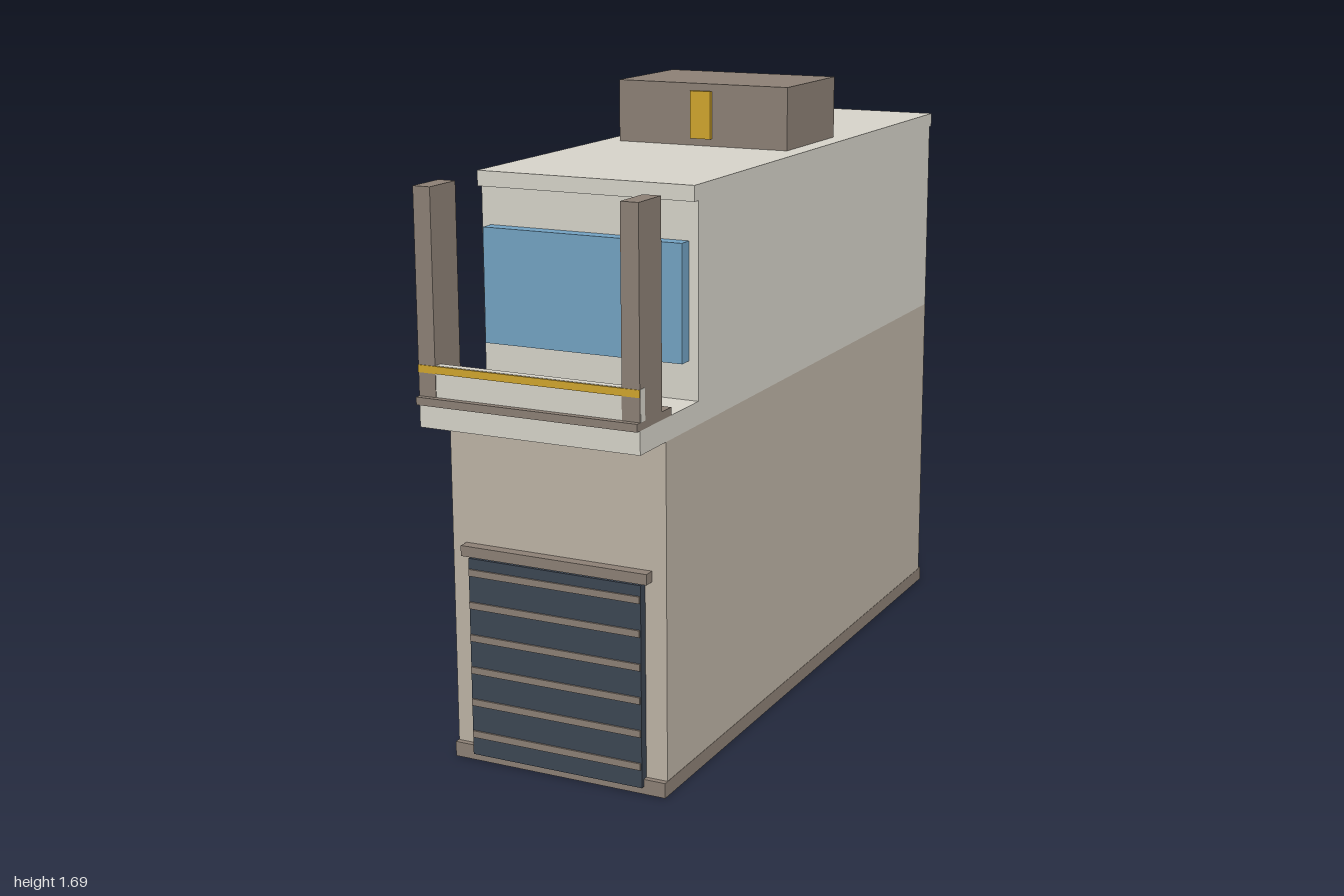
import * as THREE from 'three';

const material = (color) => new THREE.MeshStandardMaterial({ color });

export function createModel() {
  const group = new THREE.Group();
  const cream = material(0xd6d3c9);
  const tan = material(0xbdb3a5);
  const brown = material(0x8c8075);
  const dark = material(0x3c4653);
  const blue = material(0x73a2c2);
  const yellow = material(0xd0a52e);

  // Box given by its extents along each axis
  function box(name, mat, [x0, x1], [y0, y1], [z0, z1]) {
    const mesh = new THREE.Mesh(new THREE.BoxGeometry(x1 - x0, y1 - y0, z1 - z0), mat);
    mesh.position.set((x0 + x1) / 2, (y0 + y1) / 2, (z0 + z1) / 2);
    mesh.name = name;
    group.add(mesh);
  }
  const W = 0.305;
  const wide = (w) => [-w, w];

  // Ground floor and plinth
  box('lowerStorey', tan, wide(W), [0.01, 0.92], [-0.985, 0.85]);
  box('plinth', brown, wide(W + 0.001), [0, 0.04], [-1, 0.865]);

  // Upper storey with the balcony slab, one side profile extruded across the width
  const profile = new THREE.Shape([
    [-0.985, 0.92], [0.985, 0.92], [0.985, 0.98], [0.67, 0.98], [0.67, 1.5], [-0.985, 1.5],
  ].map(([z, y]) => new THREE.Vector2(-z, y)));
  const upperGeometry = new THREE.ExtrudeGeometry(profile, { depth: 2 * W, bevelEnabled: false });
  upperGeometry.translate(0, 0, -W).rotateY(Math.PI / 2);
  const upper = new THREE.Mesh(upperGeometry, cream);
  upper.name = 'upperStorey';
  group.add(upper);
  box('roofSlab', cream, wide(W), [1.48, 1.52], [-1, 0.69]);

  // Rooftop housing with its marker
  box('roofHousing', brown, wide(0.254), [1.52, 1.69], [-0.32, 0.013]);
  box('roofMarker', yellow, wide(0.03), [1.54, 1.67], [0.01, 0.025]);

  // Window behind the balcony
  box('window', blue, wide(0.28), [1.08, 1.38], [0.66, 0.71]);

  // Balcony edge, parapet and posts
  box('balconyEdge', brown, wide(W), [0.98, 1.0], [0.82, 1]);
  box('parapet', cream, wide(W + 0.001), [1.0, 1.08], [0.96, 0.983]);
  box('parapetTrim', yellow, wide(W), [1.06, 1.079], [0.958, 0.987]);
  for (const s of [-1, 1]) {
    const xs = [0.257 * s, W * s].sort((a, b) => a - b);
    box(s > 0 ? 'leftPost' : 'rightPost', brown, xs, [1.0, 1.52], [0.87, 0.985]);
  }

  // Shutter door with slats and lintel
  box('shutterDoor', dark, wide(0.246), [0.02, 0.555], [0.84, 0.875]);
  for (let i = 0; i < 6; i++) {
    const y = 0.078 + i * 0.088;
    box('shutterSlat', brown, wide(0.244), [y - 0.009, y + 0.009], [0.86, 0.88]);
  }
  box('doorLintel', brown, wide(0.265), [0.56, 0.588], [0.84, 0.88]);

  return group;
}
